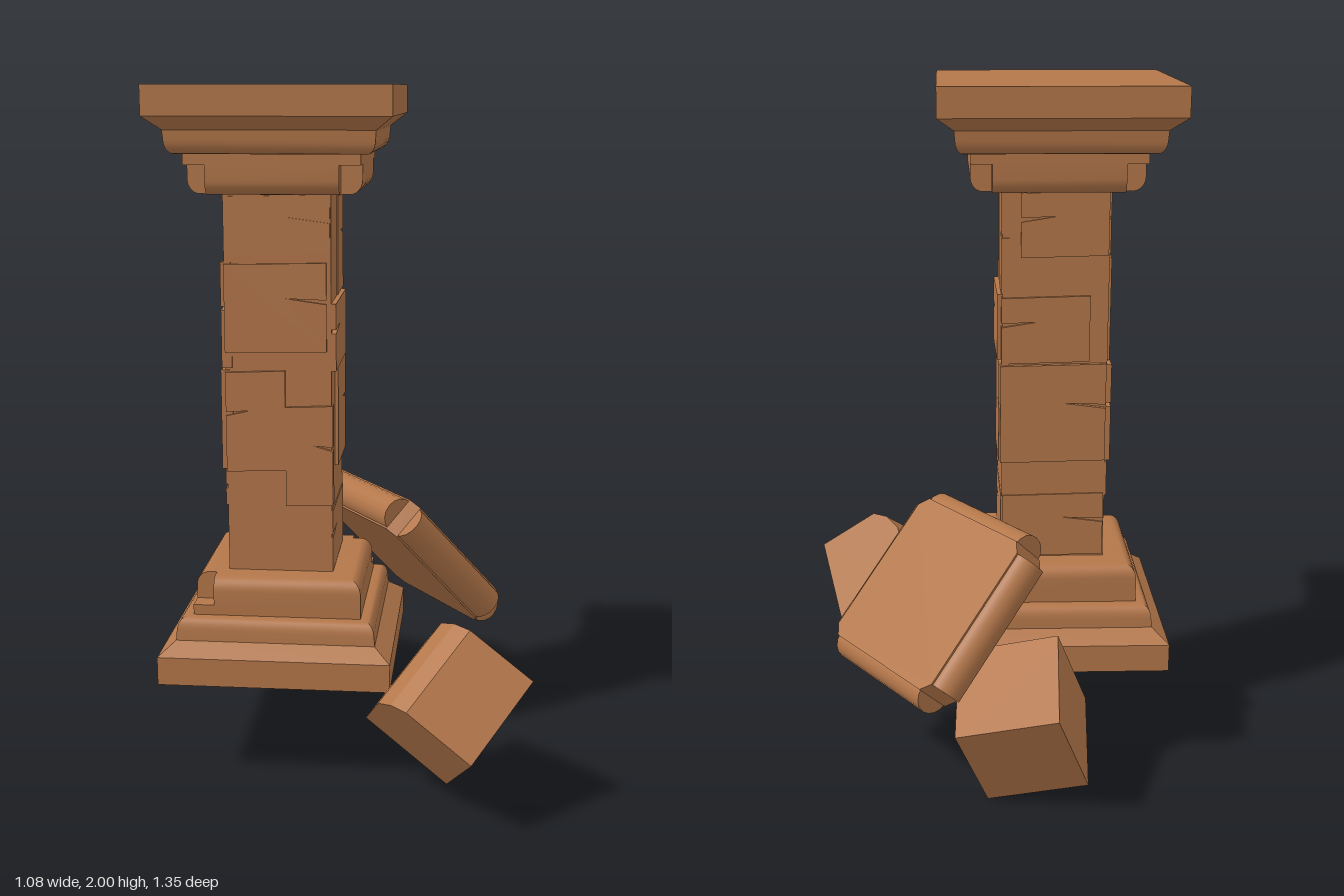
import * as THREE from 'three';
import { toCreasedNormals, mergeVertices } from 'three/addons/utils/BufferGeometryUtils.js';

const stone = new THREE.MeshStandardMaterial({ color: 0xb4774a });
stone.name = 'sandstone';

function part(name, geometry, parent) {
  const mesh = new THREE.Mesh(geometry, stone);
  mesh.name = name;
  parent.add(mesh);
  return mesh;
}

// Square moulding: [half width, y] profile swept round four sides
function squareMoulding(profile) {
  const pts = profile.map(([h, y]) => new THREE.Vector2(h * Math.SQRT2, y));
  return toCreasedNormals(new THREE.LatheGeometry(pts, 4).rotateY(Math.PI / 4), 0.6);
}

// Rounded top tier whose listed corners (0..3) are broken away
function notchedTier(y0, y1, half, notched) {
  const inner = 0.185, rows = [[half, y0], [half, y1 - 0.04]];
  for (let i = 1; i <= 6; i++) {
    const a = (i / 6) * Math.PI / 2;
    rows.push([half - 0.035 * (1 - Math.cos(a)), y1 - 0.04 + 0.04 * Math.sin(a)]);
  }
  const outline = (h) => {
    const ring = [];
    for (let k = 0; k < 4; k++) {
      const local = notched.includes(k) ? [[h, inner], [inner, inner], [inner, h]] : [[h, h]];
      for (const [x, s] of local) {
        ring.push(new THREE.Vector2(x, s).rotateAround(new THREE.Vector2(), k * Math.PI / 2));
      }
    }
    return ring;
  };
  const pos = [], idx = [];
  const n = outline(half).length;
  rows.forEach(([h, y], r) => {
    for (const p of outline(h)) pos.push(p.x, y, -p.y);
    if (r === 0) return;
    for (let i = 0; i < n; i++) {
      const a = (r - 1) * n + i, b = (r - 1) * n + (i + 1) % n;
      idx.push(a, b, b + n, a, b + n, a + n);
    }
  });
  const last = (rows.length - 1) * n;
  const cap = THREE.ShapeUtils.triangulateShape(outline(rows[rows.length - 1][0]), []);
  for (const t of cap) idx.push(...t.map((i) => i + last));
  const g = new THREE.BufferGeometry();
  g.setAttribute('position', new THREE.Float32BufferAttribute(pos, 3));
  g.setIndex(idx);
  return toCreasedNormals(g, 0.5);
}

// Stepped plinth; turned over it becomes the capital
function plinth(name, notched) {
  const g = new THREE.Group();
  g.name = name;
  const step = [[0, 0], [0.337, 0], [0.337, 0.083], [0.29, 0.12], [0.288, 0.145]];
  for (let i = 1; i <= 5; i++) {
    const a = (i / 5) * Math.PI / 2;
    step.push([0.288 - 0.025 * (1 - Math.cos(a)), 0.145 + 0.04 * Math.sin(a)]);
  }
  step.push([0.245, 0.185], [0.245, 0.215], [0, 0.215]);
  part('steppedMoulding', squareMoulding(step), g);
  part('roundedTier', notchedTier(0.215, 0.297, 0.245, notched), g);
  return g;
}

// Unit solid stretched onto three edge vectors from one corner
function onEdges(geometry, origin, ex, ey, ez) {
  const m = new THREE.Matrix4().makeBasis(
    new THREE.Vector3(...ex), new THREE.Vector3(...ey), new THREE.Vector3(...ez));
  m.setPosition(...origin);
  return geometry.applyMatrix4(m);
}

// Facing plate with a tapered crack cut into one side
function plateGeometry(x0, x1, y0, y1, depth, crackSide) {
  const w = x1 - x0, cy = y0 + (y1 - y0) * 0.58;
  const s = new THREE.Shape();
  s.moveTo(x0, y0);
  s.lineTo(x1, y0 + 0.006);
  if (crackSide > 0) {
    s.lineTo(x1, cy - 0.008);
    s.lineTo(x1 - w * 0.4, cy + 0.008);
    s.lineTo(x1, cy + 0.004);
  }
  s.lineTo(x1, y1);
  s.lineTo(x0, y1 - 0.006);
  if (crackSide < 0) {
    s.lineTo(x0, cy + 0.004);
    s.lineTo(x0 + w * 0.4, cy + 0.008);
    s.lineTo(x0, cy - 0.008);
  }
  return new THREE.ExtrudeGeometry(s, { depth: depth + 0.02, bevelEnabled: false });
}

export function createModel() {
  const model = new THREE.Group();
  model.name = 'ruinedColumn';

  const column = new THREE.Group();
  column.name = 'column';
  column.position.set(-0.205, 0, 0.04);
  model.add(column);

  // Base and capital
  const base = plinth('base', [0, 2]);
  base.position.y = 0.302;
  column.add(base);
  const capital = plinth('capital', [0, 1, 2, 3]);
  capital.rotation.x = Math.PI;
  capital.position.y = 2;
  column.add(capital);

  // Shaft core with worn facing plates on each side
  const core = part('shaft', new THREE.BoxGeometry(0.306, 1.13, 0.306), column);
  core.position.y = 1.15;
  // [x0, x1, y0, y1, depth, crack side] for front, right, back, left
  const faces = [
    [[-0.153, 0.14, 1.25, 1.51, 0.008, 1], [-0.153, 0.02, 0.9, 1.2, 0.01, -1],
      [0.02, 0.158, 0.8, 1.1, 0.012, 1], [-0.15, 0.15, 1.53, 1.7, 0.003, 1]],
    [[-0.06, 0.16, 0.9, 1.2, 0.01, 1], [-0.153, 0.13, 1.2, 1.4, 0.014, -1],
      [-0.15, 0.15, 0.6, 0.79, 0.003, -1], [0.0, 0.155, 1.4, 1.7, 0.004, 1]],
    [[-0.158, 0.15, 0.9, 1.2, 0.014, 1], [-0.155, 0.1, 1.2, 1.4, 0.009, -1],
      [-0.15, 0.15, 0.6, 0.8, 0.005, 1], [-0.1, 0.15, 1.51, 1.7, 0.005, -1]],
    [[-0.15, 0.155, 0.9, 1.2, 0.014, -1], [-0.12, 0.157, 1.2, 1.51, 0.01, 1],
      [-0.15, 0.15, 0.79, 0.9, 0.006, 1], [-0.15, 0.12, 1.52, 1.7, 0.003, -1]],
  ];
  faces.forEach((plates, side) => {
    const wall = new THREE.Group();
    wall.name = ['front', 'right', 'back', 'left'][side] + 'Facing';
    wall.rotation.y = side * Math.PI / 2;
    column.add(wall);
    for (const p of plates) part('facingPlate', plateGeometry(...p), wall).position.z = 0.133;
  });

  // Fallen slab leaning on the column, with a round bead along each edge
  const slab = new THREE.Group();
  slab.name = 'fallenSlab';
  const tilt = 0.82;
  const h = new THREE.Vector3(0.82, 0, -0.572).normalize();
  const up = new THREE.Vector3(0, 1, 0);
  const u = h.clone().multiplyScalar(Math.cos(tilt)).addScaledVector(up, -Math.sin(tilt));
  const n = h.clone().multiplyScalar(Math.sin(tilt)).addScaledVector(up, Math.cos(tilt));
  const v = new THREE.Vector3().crossVectors(u, n);
  slab.quaternion.setFromRotationMatrix(new THREE.Matrix4().makeBasis(u, n, v));
  slab.position.set(0.143, 0.54, -0.287);
  model.add(slab);
  const e = 0.245, c = 0.03;
  const face = new THREE.Shape();
  [[e, -e + c], [e, e - c], [e - c, e], [c - e, e], [-e, e - c], [-e, c - e], [c - e, -e], [e - c, -e]]
    .forEach(([x, y], i) => (i ? face.lineTo(x, y) : face.moveTo(x, y)));
  const slabGeo = new THREE.ExtrudeGeometry(face, { depth: 0.116, bevelEnabled: false });
  part('slabBody', slabGeo.translate(0, 0, -0.058).rotateX(-Math.PI / 2), slab);
  for (let k = 0; k < 4; k++) {
    const bead = new THREE.CylinderGeometry(0.054, 0.054, 0.43, 16).rotateX(Math.PI / 2);
    bead.translate(0.236, 0, 0).rotateY(k * Math.PI / 2);
    part('edgeBead', bead, slab);
  }

  // Front rubble block, one edge chipped away
  const chip = new THREE.Shape();
  [[0, 0], [0.75, 0], [0.9, 0.13], [1, 0.34], [1, 1], [0, 1]]
    .forEach(([x, y], i) => (i ? chip.lineTo(x, y) : chip.moveTo(x, y)));
  const chipped = new THREE.ExtrudeGeometry(chip, { depth: 1, bevelEnabled: false });
  part('frontRubble', onEdges(chipped, [0.535, 0.4, 0.49],
    [-0.235, 0.17, -0.054], [-0.07, -0.17, -0.23], [-0.165, -0.17, 0.185]), model);

  // Back rubble block
  const cube = new THREE.BoxGeometry(1, 1, 1).translate(0.5, 0.5, 0.5);
  part('backRubble', onEdges(cube, [0, 0.005, -0.5],
    [-0.283, 0.077, -0.063], [-0.015, 0.13, 0.27], [0.095, 0.26, -0.112]), model);

  return model;
}
